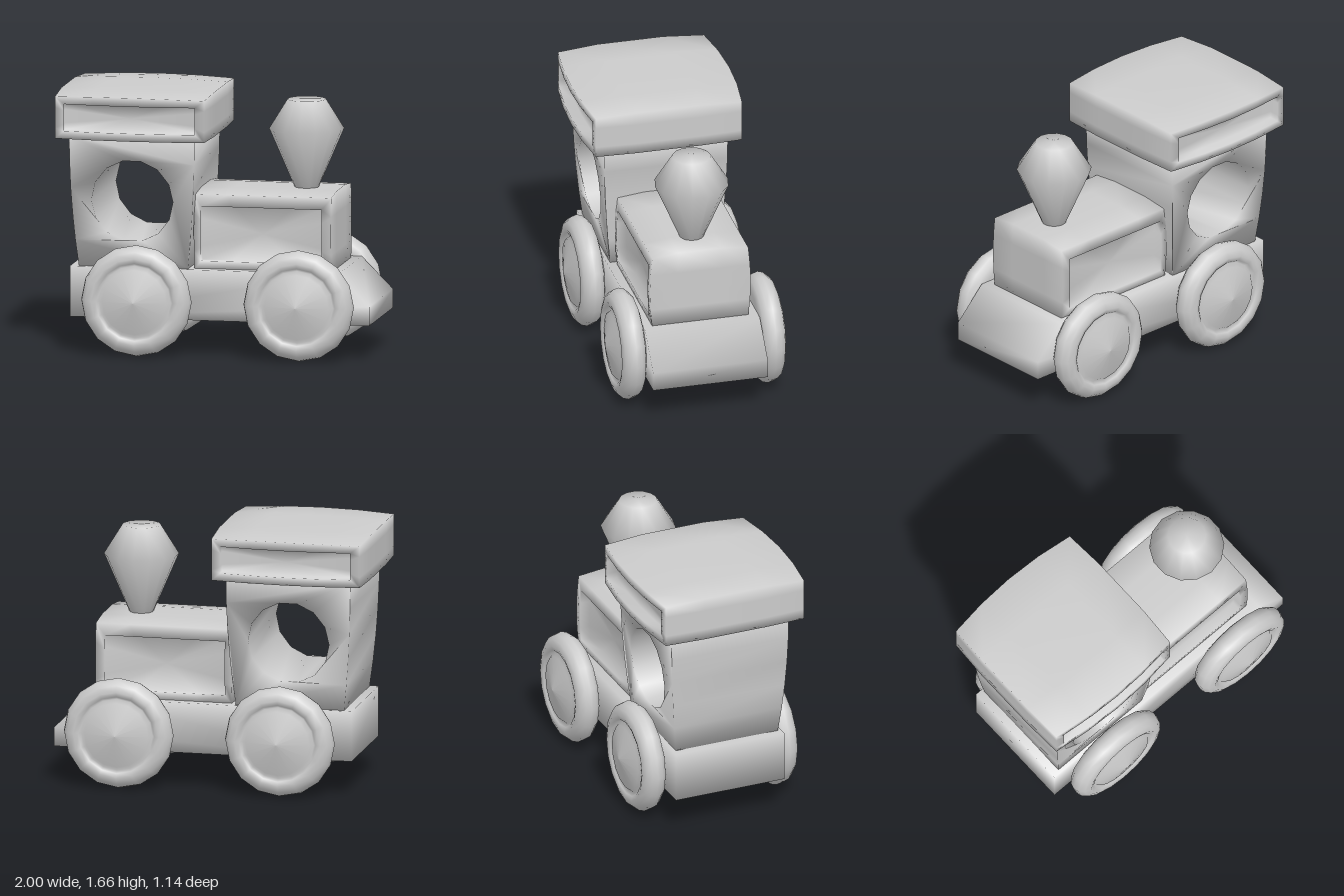
import * as THREE from 'three';
import { mergeVertices } from 'three/addons/utils/BufferGeometryUtils.js';

const material = new THREE.MeshStandardMaterial({ color: 0xcccccc });

function mesh(name, geometry) {
  const m = new THREE.Mesh(geometry, material);
  m.name = name;
  return m;
}

// Apply a rule to every vertex, then share vertices for soft normals
function shapeSoft(geometry, rule) {
  geometry.deleteAttribute('uv');
  geometry.deleteAttribute('normal');
  const p = geometry.attributes.position;
  const v = new THREE.Vector3();
  for (let i = 0; i < p.count; i++) {
    v.fromBufferAttribute(p, i);
    if (rule) rule(v);
    p.setXYZ(i, v.x, v.y, v.z);
  }
  const soft = mergeVertices(geometry, 1e-4);
  soft.computeVertexNormals();
  return soft;
}

// Rectangle [x0, x1, y0, y1] as a counter-clockwise loop, n points per side
function rectLoop([x0, x1, y0, y1], n) {
  const corners = [[x0, y0], [x1, y0], [x1, y1], [x0, y1]];
  const loop = [];
  corners.forEach(([x, y], k) => {
    const [nx, ny] = corners[(k + 1) % 4];
    for (let i = 0; i < n; i++) loop.push([x + (nx - x) * i / n, y + (ny - y) * i / n]);
  });
  return loop;
}

// Box lofted along z with a sunken panel in both z faces
function panelledBox(outer, inner, face, recess, rule) {
  const n = 4;
  const cx = (inner[0] + inner[1]) / 2, cy = (inner[2] + inner[3]) / 2;
  const centre = [cx, cx, cy, cy];
  const stations = [
    [centre, -recess], [inner, -recess], [inner, -face],
    ...[-1, -0.45, 0.45, 1].map(t => [outer, t * face]),
    [inner, face], [inner, recess], [centre, recess],
  ];
  const pos = [], index = [], count = 4 * n;
  for (const [rect, z] of stations) for (const [x, y] of rectLoop(rect, n)) pos.push(x, y, z);
  for (let i = 0; i < stations.length - 1; i++) {
    for (let j = 0; j < count; j++) {
      const a = i * count + j, b = i * count + (j + 1) % count;
      if (i > 0) index.push(a, b, b + count);
      else index.push(a, b + count, a + count);
      if (i > 0 && i < stations.length - 2) index.push(a, b + count, a + count);
    }
  }
  const g = new THREE.BufferGeometry();
  g.setAttribute('position', new THREE.Float32BufferAttribute(pos, 3));
  g.setIndex(index);
  return shapeSoft(g, rule);
}

// Flat base with a sloping nose
function chassis() {
  const pts = [[-0.91, 0.23], [1, 0.23], [1, 0.35], [0.8, 0.55], [-0.91, 0.55]];
  const shape = new THREE.Shape(pts.map(p => new THREE.Vector2(...p)));
  const g = new THREE.ExtrudeGeometry(shape, { depth: 0.74, bevelEnabled: false });
  g.translate(0, 0, -0.37);
  return mesh('chassis', shapeSoft(g));
}

// Cab narrowing towards its base, with a round window right through
function cab() {
  const cx = -0.51, y0 = 0.55, y1 = 1.38, rows = 5;
  const half = y => 0.4 * (1 - 0.13 * ((y1 - y) / (y1 - y0)) ** 2);
  const right = [], left = [];
  for (let i = 0; i <= rows; i++) {
    const y = y0 + (y1 - y0) * i / rows;
    right.push(new THREE.Vector2(cx + half(y), y));
    left.unshift(new THREE.Vector2(cx - half(y), y));
  }
  const shape = new THREE.Shape([...right, ...left]);
  shape.holes.push(new THREE.Path().absarc(cx, 0.975, 0.26, 0, Math.PI * 2, true));
  const g = new THREE.ExtrudeGeometry(shape, { depth: 2, bevelEnabled: false, curveSegments: 7 });
  g.translate(0, 0, -1);
  return mesh('cab', shapeSoft(g, v => { v.z *= half(v.y); }));
}

// Gently crowned roof with bowed sides
function roof() {
  const g = panelledBox([-1, -0.02, 1.37, 1.635], [-0.94, -0.08, 1.42, 1.59], 0.51, 0.44, v => {
    const u = (v.x + 0.51) / 0.49, w = v.z / 0.51;
    if (v.y > 1.6) v.y += 0.02 * (1 - w * w) + 0.01 * (1 - u * u);
    v.z *= 1 - 0.075 * u * u;
    v.x = -0.51 + (v.x + 0.51) * (1 - 0.03 * w * w);
  });
  return mesh('roof', g);
}

// Boiler with sunken side panels and slightly swollen sides
function boiler() {
  const g = panelledBox([-0.13, 0.745, 0.54, 1.02], [-0.085, 0.685, 0.6, 0.945], 0.31, 0.25, v => {
    const h = (v.y - 0.78) / 0.24, w = v.z / 0.31;
    if (v.y > 1) v.y += 0.025 * (1 - w * w);
    v.z *= 1 + 0.05 * Math.max(0, 1 - h * h);
  });
  return mesh('boiler', g);
}

// Funnel-shaped chimney
function chimney() {
  const profile = [[0, 1.02], [0.068, 1.02], [0.235, 1.41], [0.12, 1.595], [0, 1.595]];
  const g = new THREE.LatheGeometry(profile.map(p => new THREE.Vector2(...p)), 14);
  const m = mesh('chimney', g);
  m.position.x = 0.525;
  return m;
}

// Rounded tyre, shallow groove and conical hub
function wheelGeometry() {
  const profile = [
    [0, -0.08], [0.27, -0.08], [0.315, -0.065], [0.342, -0.035], [0.352, 0], [0.342, 0.035],
    [0.315, 0.065], [0.275, 0.08], [0.245, 0.07], [0.228, 0.05], [0.205, 0.075], [0, 0.12],
  ];
  const g = new THREE.LatheGeometry(profile.map(p => new THREE.Vector2(...p)), 16);
  return g.rotateX(Math.PI / 2);
}

export function createModel() {
  const model = new THREE.Group();
  model.name = 'toyTrain';
  model.add(chassis(), cab(), roof(), boiler(), chimney());
  const wheel = wheelGeometry();
  for (const [end, x] of [['rear', -0.47], ['front', 0.565]]) {
    for (const side of [1, -1]) {
      const m = mesh(end + 'Wheel', wheel);
      m.position.set(x, 0.355, side * 0.45);
      if (side < 0) m.rotation.y = Math.PI;
      model.add(m);
    }
  }
  return model;
}
